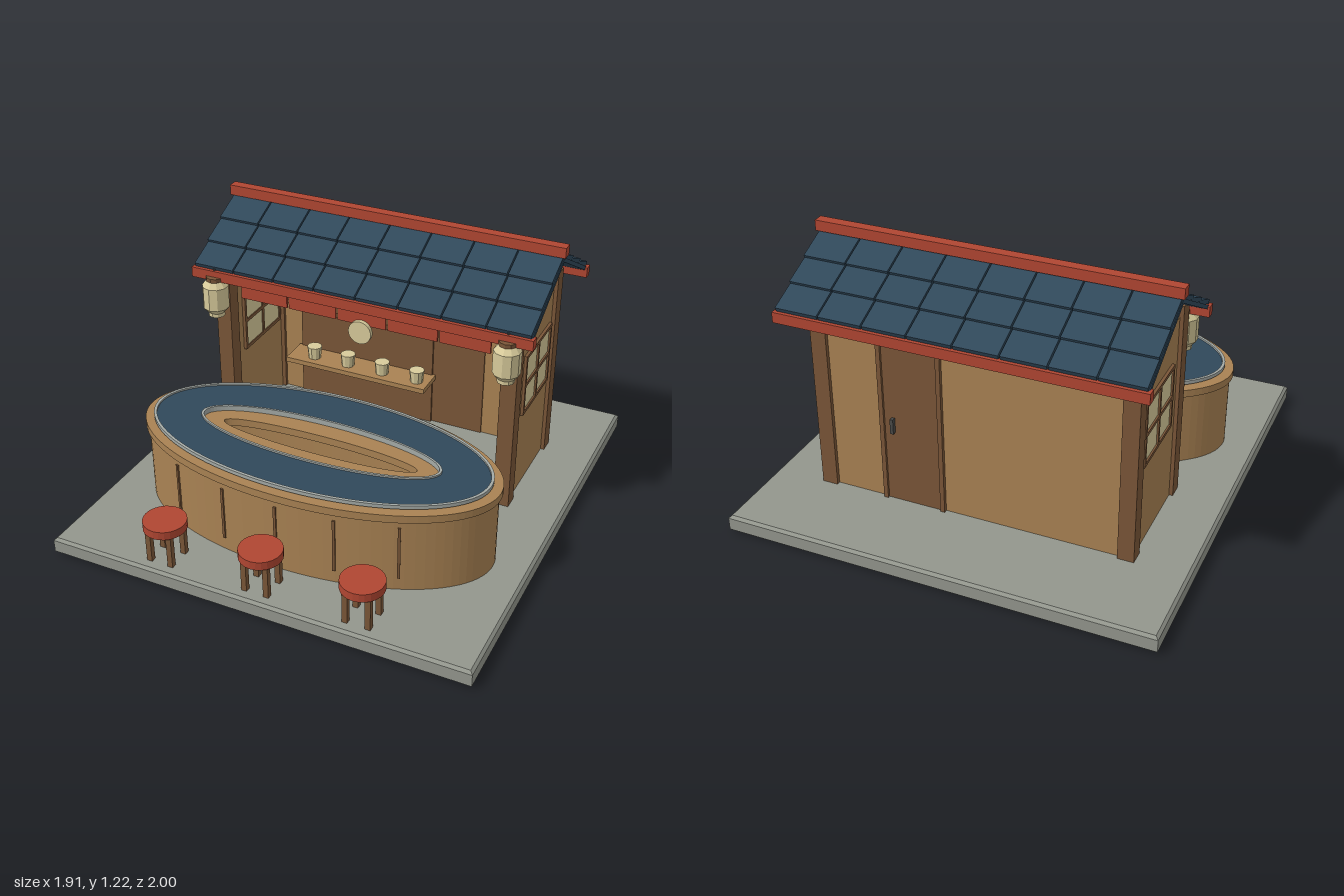
import * as THREE from 'three';

const mat = (color) => new THREE.MeshStandardMaterial({ color, flatShading: true, side: THREE.DoubleSide });
const M = {
  stone: mat(0x93968d), wood: mat(0xa98253), dark: mat(0x7a5638), red: mat(0xb04632),
  navy: mat(0x30485a), cream: mat(0xd8cb9b), metal: mat(0xa4aaa6), iron: mat(0x4a4a48),
};

function add(parent, name, geo, material, x = 0, y = 0, z = 0) {
  const m = new THREE.Mesh(geo, material);
  m.name = name;
  m.position.set(x, y, z);
  parent.add(m);
  return m;
}

// box given by its min and max on each axis
function box(parent, name, material, [x0, x1], [y0, y1], [z0, z1]) {
  return add(parent, name, new THREE.BoxGeometry(x1 - x0, y1 - y0, z1 - z0), material,
    (x0 + x1) / 2, (y0 + y1) / 2, (z0 + z1) / 2);
}

function group(parent, name, x = 0, y = 0, z = 0) {
  const g = new THREE.Group();
  g.name = name;
  g.position.set(x, y, z);
  parent.add(g);
  return g;
}

// upright elliptical ring between heights y0 and y1
function ovalRing(parent, name, material, [a, b], [ha, hb], y0, y1) {
  const shape = new THREE.Shape().absellipse(0, 0, a, b, 0, Math.PI * 2);
  shape.holes.push(new THREE.Path().absellipse(0, 0, ha, hb, 0, Math.PI * 2, true));
  const geo = new THREE.ExtrudeGeometry(shape, { depth: y1 - y0, bevelEnabled: false, curveSegments: 48 });
  return add(parent, name, geo.rotateX(-Math.PI / 2), material, 0, y0, 0);
}

function buildBase(root) {
  const c = 0.012, w = 0.955 - c, d = 1 - c;
  const shape = new THREE.Shape([[-w, -d], [w, -d], [w, d], [-w, d]].map((p) => new THREE.Vector2(...p)));
  const geo = new THREE.ExtrudeGeometry(shape, {
    depth: 0.08 - 2 * c, bevelSize: c, bevelThickness: c, bevelSegments: 1,
  });
  add(root, 'base', geo.rotateX(-Math.PI / 2), M.stone, 0, c, 0);
}

function buildCounter(root) {
  const g = group(root, 'ovalCounter', 0, 0, 0.375);
  ovalRing(g, 'counterBody', M.wood, [0.805, 0.39], [0.47, 0.075], 0.08, 0.42);
  ovalRing(g, 'counterTop', M.wood, [0.82, 0.4], [0.455, 0.065], 0.42, 0.455);
  ovalRing(g, 'conveyorBelt', M.navy, [0.767, 0.353], [0.562, 0.157], 0.455, 0.472);
  ovalRing(g, 'outerRail', M.metal, [0.78, 0.366], [0.767, 0.353], 0.463, 0.48);
  ovalRing(g, 'innerRail', M.metal, [0.562, 0.157], [0.55, 0.147], 0.455, 0.48);
  // upright battens along the front of the counter
  for (const x of [-0.51, -0.255, 0, 0.255, 0.51]) {
    const z = 0.39 * Math.sqrt(1 - (x / 0.805) ** 2);
    const s = add(g, 'batten', new THREE.BoxGeometry(0.012, 0.25, 0.014), M.dark, x, 0.265, z);
    s.rotation.y = Math.atan2(x / 0.805 ** 2, z / 0.39 ** 2);
  }
}

function buildStool(root, x) {
  const g = group(root, 'stool', x, 0, 0.89);
  add(g, 'seat', new THREE.CylinderGeometry(0.093, 0.093, 0.038, 24), M.red, 0, 0.25, 0);
  add(g, 'seatBase', new THREE.CylinderGeometry(0.08, 0.08, 0.01, 24), M.dark, 0, 0.226, 0);
  for (const lx of [-0.05, 0.05]) for (const lz of [-0.05, 0.05])
    add(g, 'leg', new THREE.BoxGeometry(0.024, 0.15, 0.024), M.dark, lx, 0.152, lz);
}

function buildSide(root, s) {
  const g = group(root, s > 0 ? 'leftSide' : 'rightSide');
  const X = (a, b) => (s > 0 ? [a, b] : [-b, -a]);
  box(g, 'sideWall', M.wood, X(0.67, 0.705), [0.08, 0.95], [-0.55, -0.1]);
  box(g, 'frontPost', M.dark, X(0.65, 0.722), [0.08, 1.0], [-0.113, -0.043]);
  box(g, 'backPost', M.dark, X(0.65, 0.722), [0.08, 1.0], [-0.615, -0.545]);
  // window with frame and crossing bars
  box(g, 'windowPane', M.cream, X(0.66, 0.71), [0.485, 0.76], [-0.51, -0.19]);
  const f = X(0.655, 0.718);
  for (const z of [-0.512, -0.35, -0.188]) box(g, 'windowBar', M.dark, f, [0.475, 0.77], [z - 0.008, z + 0.008]);
  for (const y of [0.483, 0.622, 0.762]) box(g, 'windowBar', M.dark, f, [y - 0.008, y + 0.008], [-0.52, -0.18]);
  // hanging lantern
  const l = group(g, 'lantern', s * 0.69, 0, 0.01);
  const profile = [[0, 0.765], [0.038, 0.765], [0.06, 0.79], [0.06, 0.895], [0.038, 0.922], [0, 0.922]];
  add(l, 'lanternShade', new THREE.LatheGeometry(profile.map((p) => new THREE.Vector2(...p)), 10), M.cream);
  add(l, 'lanternCap', new THREE.CylinderGeometry(0.04, 0.04, 0.018, 10), M.dark, 0, 0.93, 0);
  add(l, 'lanternFoot', new THREE.CylinderGeometry(0.038, 0.038, 0.02, 10), M.cream, 0, 0.757, 0);
  add(l, 'lanternCord', new THREE.CylinderGeometry(0.006, 0.006, 0.04, 6), M.iron, 0, 0.955, 0);
}

function buildHut(root) {
  const g = group(root, 'hut');
  box(g, 'backWall', M.wood, [-0.66, 0.66], [0.08, 0.95], [-0.597, -0.56]);
  for (const s of [-1, 1]) buildSide(g, s);

  // back door
  box(g, 'door', M.dark, [0.145, 0.4], [0.08, 0.84], [-0.603, -0.553]);
  for (const x of [0.137, 0.408]) box(g, 'doorJamb', M.dark, [x - 0.01, x + 0.01], [0.08, 0.856], [-0.614, -0.59]);
  box(g, 'doorLintel', M.dark, [0.127, 0.418], [0.836, 0.856], [-0.614, -0.59]);
  box(g, 'doorHandle', M.iron, [0.35, 0.365], [0.42, 0.49], [-0.622, -0.6]);

  // back panel with two shelves of cups
  box(g, 'shelfPanel', M.dark, [-0.55, 0.145], [0.08, 0.815], [-0.562, -0.542]);
  for (const y of [0.33, 0.632]) {
    box(g, 'shelf', M.wood, [-0.565, 0.16], [y - 0.012, y + 0.012], [-0.55, -0.4]);
    for (let i = 0; i < 4; i++)
      add(g, 'cup', new THREE.CylinderGeometry(0.036, 0.03, 0.062, 10), M.cream, -0.44 + 0.18 * i, y + 0.043, -0.46);
  }

  // curtain panels over the opening, and the round sign in front
  for (let i = -2; i <= 2; i++)
    box(g, 'curtainPanel', M.red, [i * 0.24 - 0.115, i * 0.24 + 0.115], [0.82, 0.94], [-0.066, -0.054]);
  box(g, 'curtainRod', M.dark, [-0.65, 0.65], [0.925, 0.945], [-0.085, -0.066]);
  add(g, 'roundSign', new THREE.CylinderGeometry(0.054, 0.054, 0.02, 24).rotateX(Math.PI / 2), M.cream, 0, 0.79, -0.044);
}

function buildRoof(root) {
  const g = group(root, 'roof', 0, 0, -0.367);
  for (const s of [0, 1]) {
    const side = group(g, s ? 'backSlope' : 'frontSlope');
    side.rotation.y = s * Math.PI;
    const slope = group(side, 'slope', 0, 1.158, 0);
    slope.rotation.x = Math.atan2(0.2, 0.365);
    add(slope, 'roofBoard', new THREE.BoxGeometry(1.58, 0.018, 0.415), M.navy, 0, 0, 0.2075);
    // three overlapping courses of eight tiles
    for (let r = 0; r < 3; r++) for (let c = 0; c < 8; c++) {
      const t = add(slope, 'tile', new THREE.BoxGeometry(0.191, 0.02, 0.15), M.navy,
        (c - 3.5) * 0.1975, 0.017, 0.075 + 0.135 * r);
      t.rotation.x = -0.09;
    }
    box(side, 'eaveBeam', M.red, [-0.8, 0.8], [0.92, 0.967], [0.35, 0.39]);
  }
  box(g, 'ridgeBeam', M.red, [-0.8, 0.8], [1.175, 1.222], [-0.024, 0.024]);
}

export function createModel() {
  const root = new THREE.Group();
  root.name = 'foodStall';
  buildBase(root);
  buildCounter(root);
  for (const x of [-0.45, 0, 0.45]) buildStool(root, x);
  buildHut(root);
  buildRoof(root);
  return root;
}
